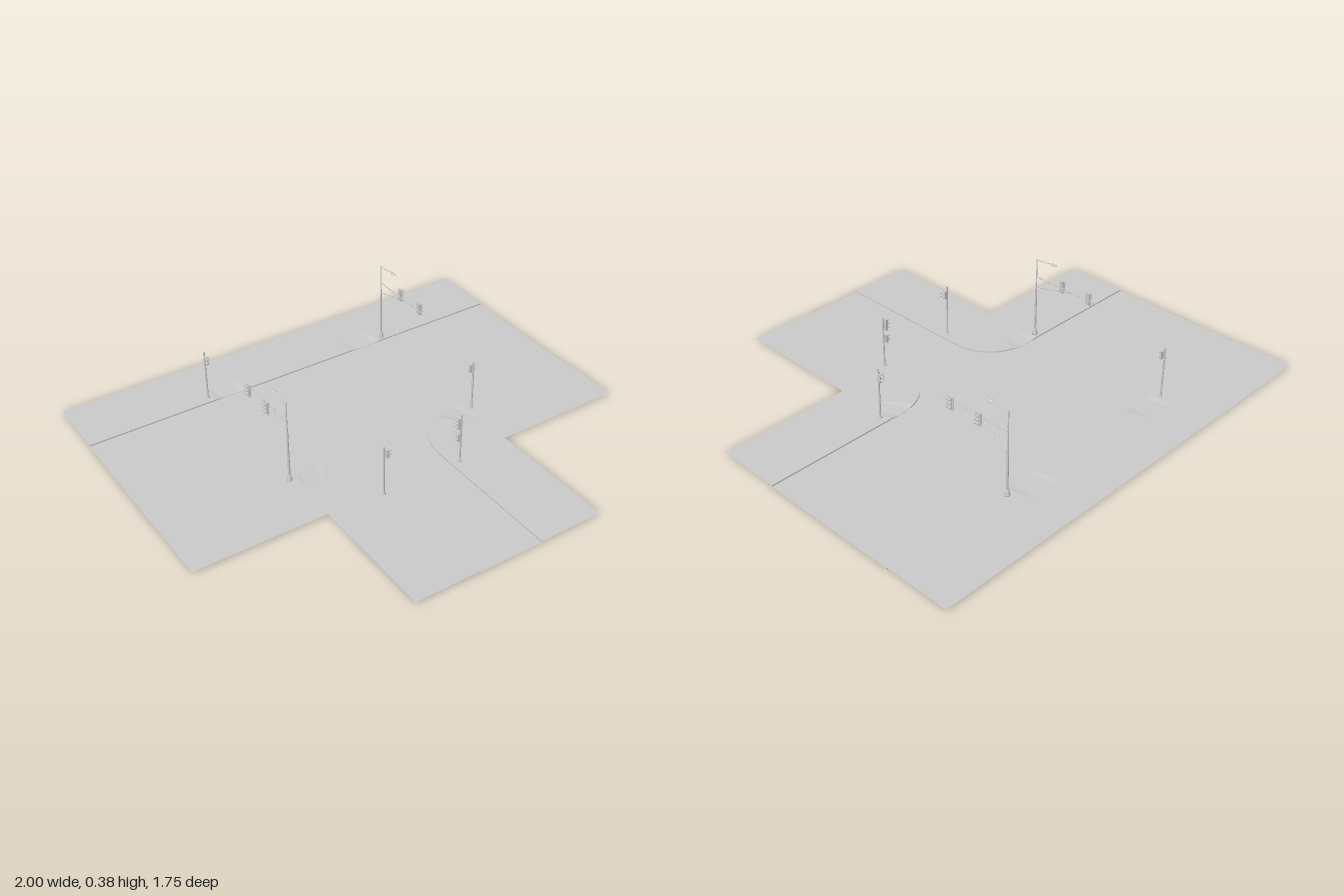
import * as THREE from 'three';

const grey = new THREE.MeshStandardMaterial({ color: 0xcccccc });
const sheet = new THREE.MeshStandardMaterial({ color: 0xcccccc, side: THREE.DoubleSide });
const H = 0.006; // pavement height
const ROAD = { back: -0.6, front: 0.02, side: 0.143, radius: 0.207, middle: -0.29 };

function add(parent, name, geometry, x = 0, y = 0, z = 0, material = grey) {
  const mesh = new THREE.Mesh(geometry, material);
  mesh.name = name;
  mesh.position.set(x, y, z);
  parent.add(mesh);
  return mesh;
}

// Straight rod between two points, optionally tapered
function rod(parent, name, a, b, r0, r1 = r0) {
  const from = new THREE.Vector3(...a), to = new THREE.Vector3(...b);
  const dir = to.clone().sub(from);
  const mesh = add(parent, name, new THREE.CylinderGeometry(r1, r0, dir.length(), 10));
  mesh.position.copy(from).addScaledVector(dir, 0.5);
  mesh.quaternion.setFromUnitVectors(new THREE.Vector3(0, 1, 0), dir.normalize());
  return mesh;
}

// Kerb line of the right-hand corner, from the main road into the side road
function cornerKerb() {
  const { front, side, radius } = ROAD;
  const pts = [[1, front], [0.42, front], [0.385, front]];
  for (let i = 0; i <= 10; i++) {
    const a = (i / 10) * Math.PI / 2;
    pts.push([side + radius * (1 - Math.sin(a)), front + radius * (1 - Math.cos(a))]);
  }
  pts.push([side, 0.3], [side, 0.87]);
  return pts;
}

// Raised pavement with kerb face; the kerb drops where people cross
function pavement(parent, name, kerb, outerOf) {
  const rows = 4, pos = [], index = [];
  kerb.forEach(([x, z], i) => {
    const [ox, oz] = outerOf(x, z);
    const dropped = Math.abs(x) > 0.295 && Math.abs(x) < 0.39;
    const k = 0.4;
    pos.push(x, 0, z, x, dropped ? 0.0015 : H, z);
    pos.push(x + (ox - x) * k, H, z + (oz - z) * k, ox, H, oz);
    if (i === 0) return;
    for (let j = 0; j < rows - 1; j++) {
      const a = (i - 1) * rows + j, b = i * rows + j;
      index.push(a, b, a + 1, b, b + 1, a + 1);
    }
  });
  let geometry = new THREE.BufferGeometry();
  geometry.setAttribute('position', new THREE.Float32BufferAttribute(pos, 3));
  geometry.setIndex(index);
  geometry = geometry.toNonIndexed();
  geometry.computeVertexNormals();
  add(parent, name, geometry, 0, 0, 0, sheet);
}

function buildGround(parent) {
  const right = cornerKerb();
  const left = right.map(([x, z]) => [-x, z]).reverse();
  const back = [-1, -0.42, -0.385, -0.3, -0.26, 0.26, 0.3, 0.385, 0.42, 1].map(x => [x, ROAD.back]);

  const outline = [...right, ...left, [-1, ROAD.back], [1, ROAD.back]];
  const shape = new THREE.Shape(outline.map(([x, z]) => new THREE.Vector2(x, -z)));
  add(parent, 'road', new THREE.ShapeGeometry(shape), 0, 0, 0, sheet).rotation.x = -Math.PI / 2;

  pavement(parent, 'backPavement', back, x => [x, -0.88]);
  pavement(parent, 'rightPavement', right, (x, z) => [Math.max(x, 0.427), Math.max(z, 0.3)]);
  pavement(parent, 'leftPavement', left, (x, z) => [Math.min(x, -0.427), Math.max(z, 0.3)]);
}

// Painted crossings and lane dashes
function buildMarkings(parent) {
  const mark = (name, w, d, x, z) =>
    add(parent, name, new THREE.PlaneGeometry(w, d), x, 0.0008, z).rotation.x = -Math.PI / 2;
  for (const s of [-1, 1]) {
    for (let i = 0; i < 12; i++) mark('crossingBar', 0.085, 0.022, s * 0.337, -0.565 + i * 0.05);
    for (let i = 0; i < 6; i++) mark('laneDash', 0.05, 0.005, s * (0.45 + i * 0.1), ROAD.middle);
  }
  for (let i = 0; i < 6; i++) mark('sideCrossingBar', 0.02, 0.075, -0.115 + i * 0.046, 0.22);
  for (let i = 0; i < 5; i++) mark('sideLaneDash', 0.005, 0.05, 0, 0.38 + i * 0.1);
}

// Signal head facing local +x, centred on its housing
function signalHead(parent, name, lamps, x, y, z, turn = 0, plate = false) {
  const g = new THREE.Group();
  g.name = name;
  g.position.set(x, y, z);
  g.rotation.y = turn;
  parent.add(g);
  const pitch = 0.017, h = lamps * pitch + 0.002;
  add(g, 'housing', new THREE.BoxGeometry(0.01, h, 0.018));
  if (plate) add(g, 'backPlate', new THREE.BoxGeometry(0.002, h + 0.004, 0.028), 0.003);
  const lens = new THREE.CylinderGeometry(0.0062, 0.0062, 0.002, 14).rotateZ(Math.PI / 2);
  // Half-round hood, open below
  const visor = new THREE.CylinderGeometry(0.0072, 0.0072, 0.012, 14, 1, true, 0, Math.PI)
    .rotateZ(Math.PI / 2);
  for (let i = 0; i < lamps; i++) {
    const ly = (i - (lamps - 1) / 2) * pitch;
    add(g, 'lens', lens, 0.0055, ly);
    add(g, 'visor', visor, 0.011, ly, 0, sheet);
  }
  return g;
}

// Tall mast with street lamp, braced arm and two overhead signals
function mast(parent, x, z) {
  const g = new THREE.Group();
  g.name = 'mast';
  g.position.set(x, 0, z);
  parent.add(g);
  const profile = [[0, 0.004], [0.012, 0.004], [0.012, 0.011], [0.009, 0.014], [0.008, 0.028], [0.005, 0.032], [0, 0.032]];
  add(g, 'base', new THREE.LatheGeometry(profile.map(p => new THREE.Vector2(...p)), 14));
  rod(g, 'pole', [0, 0.03, 0], [0, 0.235, 0], 0.005, 0.004);
  rod(g, 'upperPole', [0, 0.235, 0], [0, 0.374, 0], 0.003, 0.0022);
  rod(g, 'arm', [0, 0.287, 0], [0, 0.285, -0.335], 0.0026, 0.0018);
  rod(g, 'brace', [0, 0.236, 0], [0, 0.286, -0.19], 0.0017);
  rod(g, 'lampArm', [0, 0.367, 0], [0, 0.376, -0.075], 0.002, 0.0016);
  const lamp = add(g, 'lamp', new THREE.SphereGeometry(1, 14, 8), 0, 0.376, -0.09);
  lamp.scale.set(0.009, 0.004, 0.019);
  for (const sz of [-0.128, -0.27]) {
    rod(g, 'signalBracket', [0, 0.286, sz], [-0.012, 0.286, sz], 0.0018);
    signalHead(g, 'overheadSignal', 3, -0.013, 0.283, sz, Math.PI, true);
  }
}

// Short post carrying pedestrian or side-road signals; heads point along local +x
function post(parent, name, x, z, turn, heads) {
  const g = new THREE.Group();
  g.name = name;
  g.position.set(x, 0, z);
  g.rotation.y = turn;
  parent.add(g);
  add(g, 'foot', new THREE.CylinderGeometry(0.007, 0.008, 0.008, 12), 0, H + 0.004);
  rod(g, 'pole', [0, H, 0], [0, 0.232, 0], 0.0038);
  add(g, 'cap', new THREE.SphereGeometry(0.0042, 10, 6), 0, 0.232);
  for (const [lamps, y] of heads) {
    for (const dy of [-0.01, 0.01]) rod(g, 'bracket', [0, y + dy, 0], [0.013, y + dy, 0], 0.0014);
    signalHead(g, 'signal', lamps, 0.014, y, 0);
  }
}

export function createModel() {
  const model = new THREE.Group();
  model.name = 'junction';
  buildGround(model);
  buildMarkings(model);

  // Mast and pedestrian post repeat with a half turn about the road's middle
  for (const turn of [0, Math.PI]) {
    const half = new THREE.Group();
    half.name = turn ? 'rightEquipment' : 'leftEquipment';
    half.position.z = ROAD.middle;
    half.rotation.y = turn;
    model.add(half);
    mast(half, -0.442, 0.333);
    post(half, 'pedestrianPost', -0.442, -0.345, -Math.PI / 2, [[2, 0.198]]);
  }

  // Posts at the side road
  post(model, 'leftSidePost', -0.185, 0.32, 0, [[2, 0.198]]);
  post(model, 'rightSidePost', 0.18, 0.32, Math.PI, [[3, 0.198], [2, 0.132]]);
  return model;
}
